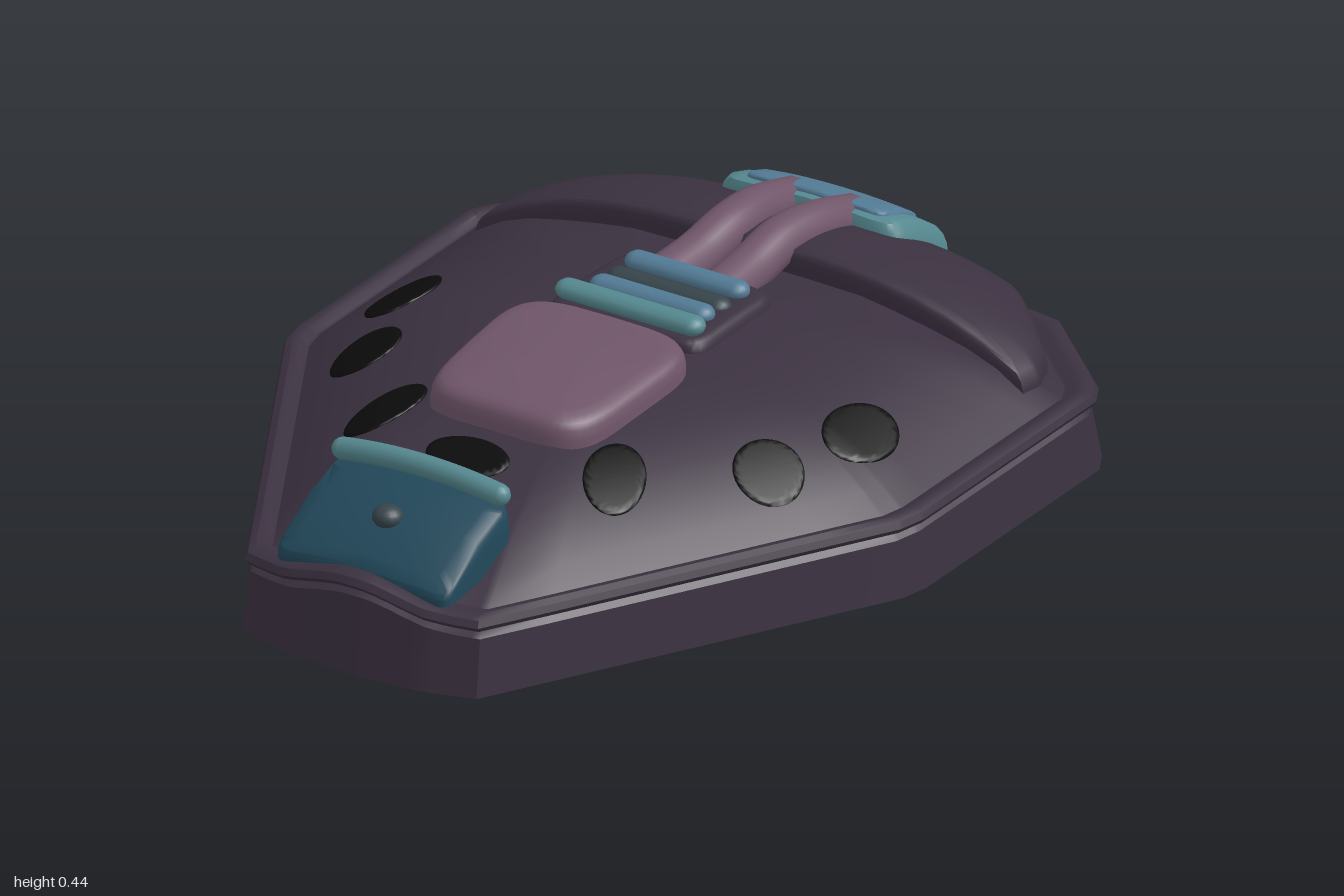
import * as THREE from 'three';
import { toCreasedNormals } from 'three/addons/utils/BufferGeometryUtils.js';

const mat = (name, color) => new THREE.MeshStandardMaterial({ name, color });

// Full outline (x, z) from its right half, listed back to front, with every edge subdivided
function mirrored(half, steps = 6) {
  const left = half.slice(1, -1).reverse().map(([x, z]) => [-x, z]);
  const corners = [...half, ...left];
  return corners.flatMap(([x, z], i) => {
    const [u, v] = corners[(i + 1) % corners.length];
    return Array.from({ length: steps }, (_, k) => [x + (u - x) * k / steps, z + (v - z) * k / steps]);
  });
}

// Rounded outline: power 2 is an ellipse, higher is squarer
function rounded(cx, cz, w, d, power = 2, turn = 0, taper = 0, n = 48) {
  const bend = (v) => Math.sign(v) * Math.abs(v) ** (2 / power);
  return Array.from({ length: n }, (_, i) => {
    const a = (i / n) * Math.PI * 2;
    const z = d * bend(Math.sin(a));
    const x = w * bend(Math.cos(a)) * (1 - taper * z / d);
    return [cx + x * Math.cos(turn) - z * Math.sin(turn), cz + x * Math.sin(turn) + z * Math.cos(turn)];
  });
}

// Surface through rings of equal point count, ordered from the bottom outside to the top centre
function loft(rings, crease) {
  const n = rings[0].length, index = [];
  for (let r = 0; r < rings.length - 1; r++) {
    for (let i = 0; i < n; i++) {
      const a = r * n + i, b = r * n + (i + 1) % n, c = a + n, d = b + n;
      index.push(a, c, b, b, c, d);
    }
  }
  const g = new THREE.BufferGeometry();
  g.setAttribute('position', new THREE.Float32BufferAttribute(rings.flat(2), 3));
  g.setIndex(index);
  return toCreasedNormals(g, crease);
}

// Hull outline, scaled about a point on the centre line
const CZ = -0.1, EDGE = 0.92;
const hullHalf = [[0, -1], [0.3, -0.985], [0.55, -0.95], [0.78, -0.745], [0.81, -0.69], [0.81, -0.02],
  [0.795, 0.05], [0.3, 0.95], [0.18, 0.985], [0, 1]];
const hullOutline = mirrored(hullHalf);

// How far out a point lies: 0 at the centre, 1 on the outline
function reach(x, z) {
  let s = 0;
  hullHalf.slice(1).forEach(([bx, bz], i) => {
    const [ax, az] = hullHalf[i], ex = bx - ax, ez = bz - az;
    s = Math.max(s, (ex * (z - CZ) - ez * Math.abs(x)) / (ex * (az - CZ) - ez * ax));
  });
  return s;
}
// Rim rises in the middle of the front and back
const lift = (x, z) => 0.045 * Math.exp(-((x / 0.15) ** 2)) * THREE.MathUtils.clamp((Math.abs(z) - 0.8) / 0.15, 0, 1);
const dome = (x, z) => 0.172 + 0.195 * (1 - Math.min(1, reach(x, z) / EDGE) ** 3) + lift(x, z);

// Cushion-like plate on the dome, with rounded edges
function pad(outline, top, bottom = (x, z) => dome(x, z) - 0.03, soft = 1) {
  const n = outline.length;
  const cx = outline.reduce((t, p) => t + p[0], 0) / n, cz = outline.reduce((t, p) => t + p[1], 0) / n;
  const profile = [[1, 0], [1, 0.55], [1 - 0.015 * soft, 0.78], [1 - 0.045 * soft, 0.92], [1 - 0.1 * soft, 1],
    [0.8, 1], [0.65, 1], [0.5, 1], [0.35, 1], [0.18, 1], [0, 1]];
  return loft(profile.map(([s, f]) => outline.map(([px, pz]) => {
    const x = cx + (px - cx) * s, z = cz + (pz - cz) * s;
    const low = bottom(x, z);
    return [x, low + (top(x, z) - low) * f, z];
  })), 0.9);
}

export function createModel() {
  const hull = mat('dark plum', 0x3b3140), black = mat('black', 0x0c0c0d), mauve = mat('mauve', 0x6f5569);
  const teal = mat('teal', 0x55888f), blue = mat('steel blue', 0x527a94);
  const deep = mat('deep teal', 0x22485a), grey = mat('slate grey', 0x36454b);
  const model = new THREE.Group();
  const add = (name, geometry, material, x = 0, y = 0, z = 0) => {
    const mesh = new THREE.Mesh(geometry, material);
    mesh.name = name;
    mesh.position.set(x, y, z);
    model.add(mesh);
    return mesh;
  };
  const above = (t) => (x, z) => dome(x, z) + t;

  // Hull: floor, wall, groove, rolled rim, dome
  const wall = [[0, 0], [1, 0], [0.977, 0.13], [0.96, 0.142], [0.96, 0.15], [0.985, 0.152], [0.993, 0.163],
    [0.985, 0.178], [0.965, 0.186], [0.945, 0.184], [0.93, 0.174]];
  const rings = wall.map(([s, y]) => hullOutline.map(([x, z]) => {
    const px = x * s, pz = CZ + (z - CZ) * s;
    return [px, y > 0.1 ? y + lift(px, pz) : y, pz];
  }));
  for (let k = 0; k <= 14; k++) {
    const s = EDGE * (1 - k / 14);
    rings.push(hullOutline.map(([x, z]) => {
      const px = x * s, pz = CZ + (z - CZ) * s;
      return [px, dome(px, pz), pz];
    }));
  }
  add('hull', loft(rings, 0.6), hull);

  // Raised rear hump
  const hump = mirrored([[0, -0.92], [0.3, -0.905], [0.5, -0.87], [0.67, -0.7], [0.705, -0.62], [0.7, -0.56], [0, -0.545]], 8);
  add('rearHump', pad(hump, (x, z) => 0.39 - 0.15 * Math.abs(x / 0.7) ** 3 - Math.max(0, -0.6 - z) ** 2, undefined, 0.6), hull);

  // Oval vents
  const vents = [[0.585, -0.105, 0.07, 0.107, 0], [0.515, 0.145, 0.074, 0.084, 0], [0.293, 0.405, 0.066, 0.1, -0.35]];
  for (const side of [1, -1]) {
    for (const [x, z, w, d, turn] of vents) {
      add('sideVent', pad(rounded(side * x, z, w, d, 2, side * turn), above(0.006), above(-0.003)), black);
    }
  }
  add('frontVent', pad(rounded(0, 0.53, 0.1, 0.06), above(0.006), above(-0.003)), black);

  // Centre cushion and slotted tray
  add('centreCushion', pad(rounded(0, 0.195, 0.225, 0.235, 4.5, 0, 0.06), above(0.058)), mauve);
  add('tray', pad(rounded(0, -0.22, 0.198, 0.165, 8, 0, -0.02), above(0.025)), hull);
  const bars = [[-0.32, 0.155, 0.395, blue], [-0.25, 0.155, 0.385, grey], [-0.185, 0.155, 0.395, blue], [-0.1, 0.187, 0.412, teal]];
  for (const [z, half, y, material] of bars) {
    const bar = new THREE.CapsuleGeometry(0.03, 2 * half - 0.06, 6, 14).rotateZ(Math.PI / 2).scale(1, 0.75, 1);
    add('trayBar', bar, material, 0, y, z);
  }

  // Twin hoses with rounded ends
  for (const side of [1, -1]) {
    const path = [[0.07, 0.362, -0.34], [0.066, 0.368, -0.45], [0.064, 0.386, -0.58], [0.07, 0.375, -0.7], [0.075, 0.335, -0.84]]
      .map(([x, y, z]) => new THREE.Vector3(side * x, y, z));
    add('hose', new THREE.TubeGeometry(new THREE.CatmullRomCurve3(path), 28, 0.053, 14), mauve);
    add('hoseEnd', new THREE.SphereGeometry(0.053, 16, 12).scale(1, 1, 0.7), mauve, ...path[0].toArray());
  }

  // Rear clasp with inset plate
  const claspTop = (t) => (x, z) => 0.388 + t - 2.2 * Math.max(0, -0.78 - z) ** 2 - 0.3 * x * x;
  add('rearClasp', pad(rounded(0, -0.885, 0.24, 0.118, 7), claspTop(0), () => 0.17), teal);
  add('rearClaspPlate', pad(rounded(0, -0.88, 0.18, 0.08, 7), claspTop(0.009), claspTop(-0.01), 0.5), blue);

  // Front clasp with top bar and stud
  const plateTop = (x, z) => 0.358 - 0.17 * (z - 0.69) - 1.2 * (z - 0.69) ** 2 - 0.5 * x * x;
  add('frontClasp', pad(rounded(0, 0.818, 0.223, 0.132, 12), plateTop, (x, z) => 0.19 + 0.12 * (0.95 - z), 0.4), deep);
  const ends = [-0.2, 0.2].map((x) => new THREE.Vector3(x, 0.36, 0.71));
  const arc = new THREE.QuadraticBezierCurve3(ends[0], new THREE.Vector3(0, 0.392, 0.71), ends[1]);
  add('frontClaspBar', new THREE.TubeGeometry(arc, 20, 0.025, 12), teal);
  for (const p of ends) add('frontClaspBarEnd', new THREE.SphereGeometry(0.025, 14, 10), teal, p.x, p.y, p.z);
  add('stud', new THREE.SphereGeometry(0.034, 18, 12).scale(1, 0.75, 1), grey, 0, 0.308, 0.84);

  return model;
}
